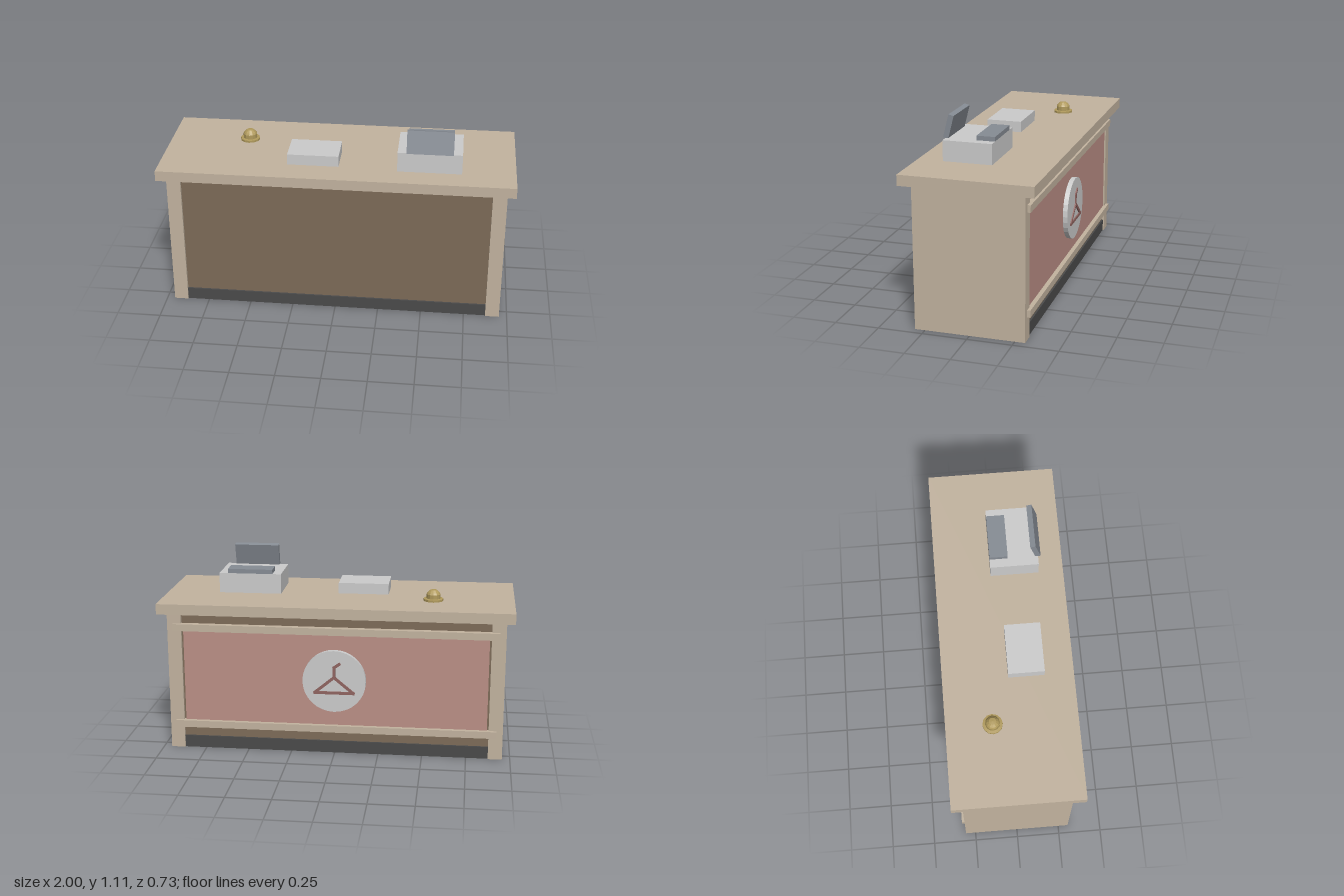
import * as THREE from 'three';

const mat = (color) => new THREE.MeshStandardMaterial({ color, flatShading: true });

export function createModel() {
  const model = new THREE.Group();
  const beige = mat(0xc2b39f), brown = mat(0x7d6b58), dark = mat(0x4a4a4a);
  const pink = mat(0xbb8f86), grey = mat(0xcccccc), slate = mat(0x868c94);
  const gold = mat(0xb09a5c), red = mat(0x8f6460);

  const add = (name, geometry, material, parent = model) => {
    const mesh = new THREE.Mesh(geometry, material);
    mesh.name = name;
    parent.add(mesh);
    return mesh;
  };
  // Box given by its extents along each axis
  const box = (name, [x0, x1], [y0, y1], [z0, z1], material, parent) => {
    const mesh = add(name, new THREE.BoxGeometry(x1 - x0, y1 - y0, z1 - z0), material, parent);
    mesh.position.set((x0 + x1) / 2, (y0 + y1) / 2, (z0 + z1) / 2);
    return mesh;
  };

  // Counter carcass
  box('counterTop', [-1, 1], [0.81, 0.87], [-0.367, 0.367], beige);
  box('core', [-0.875, 0.875], [0.065, 0.81], [-0.29, 0.29], brown);
  box('plinth', [-0.875, 0.875], [0, 0.07], [-0.3, 0.3], dark);
  box('leftSidePanel', [0.875, 0.955], [0, 0.81], [-0.307, 0.307], beige);
  box('rightSidePanel', [-0.955, -0.875], [0, 0.81], [-0.307, 0.307], beige);

  // Customer side: coloured panel between two rails
  box('displayPanel', [-0.865, 0.865], [0.15, 0.72], [-0.3, -0.285], pink);
  box('upperRail', [-0.92, 0.92], [0.705, 0.745], [-0.325, -0.285], beige);
  box('lowerRail', [-0.92, 0.92], [0.13, 0.17], [-0.325, -0.285], beige);

  // Round sign with a raised clothes hanger
  const sign = new THREE.Group();
  sign.name = 'sign';
  sign.position.set(0, 0.437, -0.31);
  model.add(sign);
  add('signDisc', new THREE.CylinderGeometry(0.18, 0.18, 0.034, 32), grey, sign).rotation.x = Math.PI / 2;
  const bar = (name, ax, ay, bx, by) => {
    const length = Math.hypot(bx - ax, by - ay) + 0.012;
    const mesh = add(name, new THREE.BoxGeometry(length, 0.016, 0.012), red, sign);
    mesh.position.set((ax + bx) / 2, (ay + by) / 2, -0.018);
    mesh.rotation.z = Math.atan2(by - ay, bx - ax);
  };
  bar('hangerBase', -0.11, -0.066, 0.11, -0.066);
  bar('hangerShoulder', -0.11, -0.066, 0, 0.025);
  bar('hangerShoulder', 0.11, -0.066, 0, 0.025);
  bar('hangerStem', 0, 0.025, 0, 0.083);
  bar('hangerHook', 0, 0.083, -0.03, 0.105);

  // Cash register with a tilted screen
  const register = new THREE.Group();
  register.name = 'cashRegister';
  model.add(register);
  box('registerBase', [0.34, 0.7], [0.87, 0.985], [-0.05, 0.225], grey, register);
  box('keypad', [0.39, 0.65], [0.985, 1.01], [-0.05, 0.053], slate, register);
  const screen = box('screen', [0.39, 0.65], [0.982, 1.113], [0.194, 0.224], slate, register);
  screen.rotation.x = -0.25;

  // Flat tray on the worktop
  box('tray', [-0.28, 0.01], [0.87, 0.932], [0, 0.203], grey);

  // Service bell: base plate and faceted dome
  const profile = [[0, 0], [0.056, 0], [0.056, 0.012], [0.04, 0.014], [0.04, 0.038], [0.034, 0.048], [0.02, 0.061], [0, 0.063]];
  const bell = add('serviceBell', new THREE.LatheGeometry(profile.map(([r, y]) => new THREE.Vector2(r, y)), 12), gold);
  bell.position.set(-0.542, 0.87, -0.107);

  return model;
}
